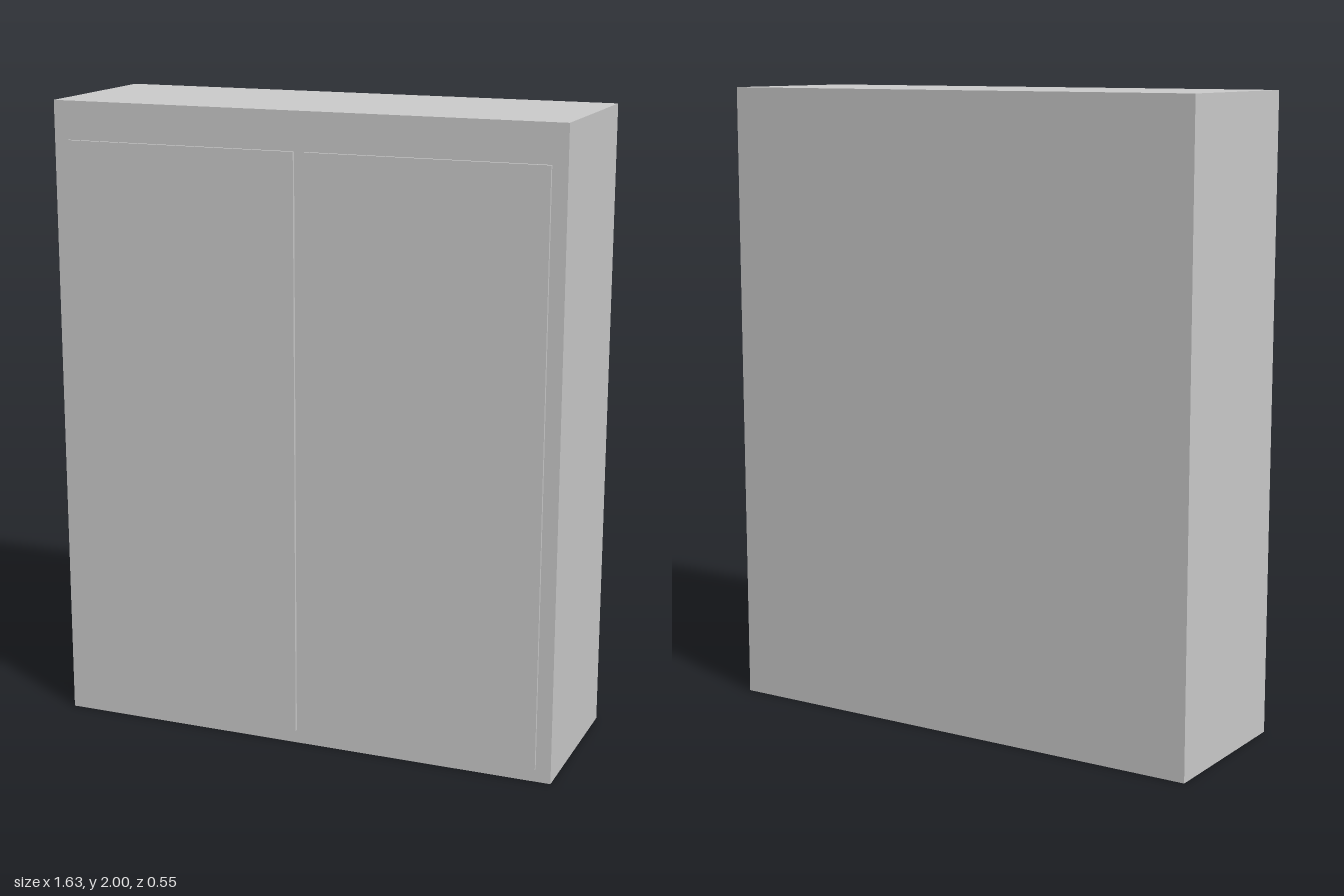
import * as THREE from 'three';

const WIDTH = 1.635, HEIGHT = 2, BACK = -0.277, FRONT = 0.267;
const DOOR = { inner: 0.017, outer: 0.77, bottom: 0.043, top: 1.88, front: 0.277 };

export function createModel() {
  const group = new THREE.Group();
  group.name = 'wardrobe';
  const material = new THREE.MeshStandardMaterial({ color: 0xcccccc });

  // Box given by its lower and upper corners
  function addBox(name, min, max) {
    const [w, h, d] = max.map((v, i) => v - min[i]);
    const mesh = new THREE.Mesh(new THREE.BoxGeometry(w, h, d), material);
    mesh.position.set(min[0] + w / 2, min[1] + h / 2, min[2] + d / 2);
    mesh.name = name;
    group.add(mesh);
  }

  // Cabinet body
  addBox('cabinet', [-WIDTH / 2, 0, BACK], [WIDTH / 2, HEIGHT, FRONT]);

  // Pair of thin door panels standing proud of the front
  addBox('leftDoor', [DOOR.inner, DOOR.bottom, FRONT], [DOOR.outer, DOOR.top, DOOR.front]);
  addBox('rightDoor', [-DOOR.outer, DOOR.bottom, FRONT], [-DOOR.inner, DOOR.top, DOOR.front]);

  return group;
}
